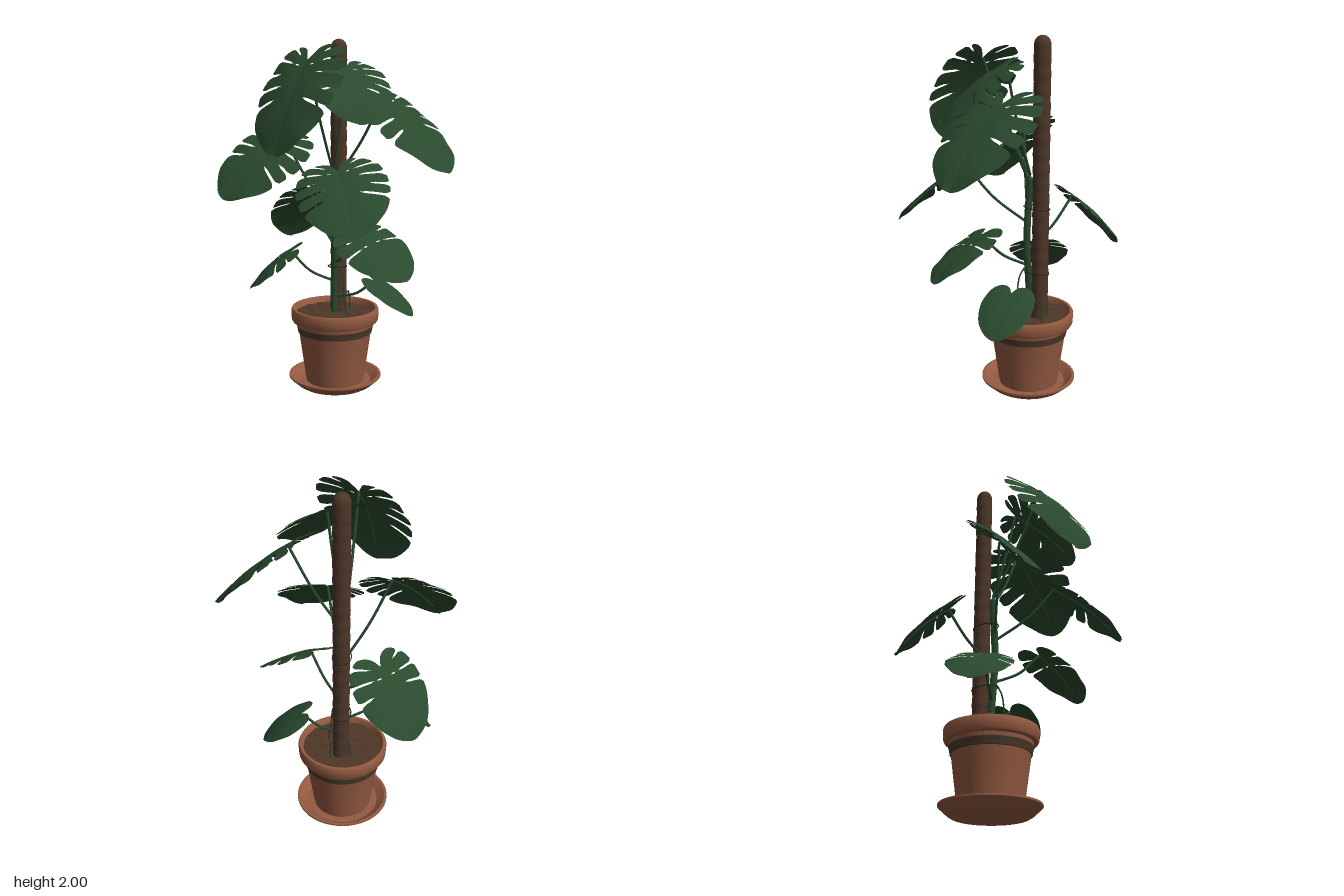
import * as THREE from 'three';
import { toCreasedNormals } from 'three/addons/utils/BufferGeometryUtils.js';

const V2 = (x, y) => new THREE.Vector2(x, y);
const V3 = (x, y, z) => new THREE.Vector3(x, y, z);
const PX = -0.065, PZ = -0.127, POLE_Z = -0.195;

function material(name, color, extra = {}) {
  const m = new THREE.MeshStandardMaterial({ color, ...extra });
  m.name = name;
  return m;
}

// Right half of a heart-shaped leaf: notch at the origin, tip at (0, 0.9)
const margin = new THREE.CatmullRomCurve3([
  V3(0.005, 0, 0), V3(0.08, -0.12, 0), V3(0.23, -0.16, 0), V3(0.38, -0.05, 0), V3(0.45, 0.16, 0),
  V3(0.44, 0.4, 0), V3(0.35, 0.64, 0), V3(0.19, 0.82, 0), V3(0.06, 0.89, 0), V3(0, 0.9, 0)]);

// Each half is a row of fingers between slits; gaps open towards the margin
// and, on some slits, as a small hole near the midrib.
function leafGeometry(slits, ripple) {
  const pos = [], index = [];
  const rows = 20;
  const edges = [0, ...slits, 1];
  const gap = (k, s, side) => {
    if (k === 0 || k === edges.length - 1) return 0;
    const cut = 0.46 + 0.12 * Math.sin(k * 2.3 + side);
    let g = 0;
    if (s > cut) g = 0.0095 * Math.min(1, (s - cut) / 0.12);
    if (s > 0.85) g += 0.018 * ((s - 0.85) / 0.15) ** 2;
    if (k === 2 && s > 0.17 && s < 0.3) g = 0.009;
    return g;
  };
  for (const side of [1, -1]) {
    for (let k = 0; k < edges.length - 1; k++) {
      const start = pos.length / 3;
      const n = Math.ceil((edges[k + 1] - edges[k]) * 40);
      for (let i = 0; i <= n; i++) {
        for (let j = 0; j <= rows; j++) {
          const s = j / rows;
          const t0 = edges[k] + gap(k, s, side), t1 = edges[k + 1] - gap(k + 1, s, side);
          const t = THREE.MathUtils.lerp(t0, t1, i / n);
          const p = margin.getPointAt(t);
          const x = p.x * s;
          const y = THREE.MathUtils.lerp(0.89 * t * t, p.y, s);
          const h = 0.25 * y * (0.9 - y) - 0.5 * x * x + 0.1 * x
            + ripple * s * s * Math.sin(t * 26 + side);
          pos.push(x * side, y, h);
        }
      }
      for (let i = 0; i < n; i++) {
        for (let j = 0; j < rows; j++) {
          const a = start + i * (rows + 1) + j, b = a + rows + 1, c = a + 1, d = b + 1;
          if (side > 0) index.push(a, c, b, b, c, d);
          else index.push(a, b, c, b, d, c);
        }
      }
    }
  }
  const g = new THREE.BufferGeometry();
  g.setAttribute('position', new THREE.Float32BufferAttribute(pos, 3));
  g.setIndex(index);
  g.computeVertexNormals();
  return g;
}

export function createModel() {
  const root = new THREE.Group();
  root.name = 'pottedClimbingPlant';
  const terracotta = material('terracotta', 0x945b41);
  const twine = material('twine', 0x4a3a2b);
  const soilBrown = material('soilBrown', 0x4f3727);
  const coir = material('coir', 0x4d3627);
  const leafGreen = material('leafGreen', 0x2a4a2e, { side: THREE.DoubleSide });
  const stemGreen = material('stemGreen', 0x27492e);
  const tieDark = material('tieDark', 0x22281f);

  const add = (name, geometry, mat, x = 0, y = 0, z = 0) => {
    const m = new THREE.Mesh(geometry, mat);
    m.name = name;
    m.position.set(x, y, z);
    root.add(m);
    return m;
  };
  const lathe = (pts, n = 48) =>
    toCreasedNormals(new THREE.LatheGeometry(pts.map(p => V2(...p)), n), 0.6);
  const tube = (name, pts, r, mat, closed = false) => add(name,
    new THREE.TubeGeometry(new THREE.CatmullRomCurve3(pts, closed), 28, r, 8, closed), mat);

  // Saucer and pot
  add('saucer', lathe([[0, 0], [0.205, 0], [0.225, 0.012], [0.27, 0.052], [0.27, 0.062],
    [0.255, 0.062], [0.21, 0.025], [0, 0.025]]), terracotta, PX, 0, PZ);
  add('pot', lathe([[0, 0.026], [0.168, 0.026], [0.174, 0.06], [0.212, 0.33], [0.222, 0.365],
    [0.224, 0.385], [0.247, 0.388], [0.253, 0.398], [0.256, 0.452], [0.25, 0.465], [0.236, 0.465],
    [0.23, 0.455], [0.222, 0.4], [0, 0.39]]), terracotta, PX, 0, PZ);
  add('twineBand', lathe([[0.21, 0.32], [0.217, 0.322], [0.22, 0.34], [0.226, 0.362], [0.22, 0.366]]),
    twine, PX, 0, PZ);

  // Lumpy soil
  const soil = new THREE.RingGeometry(0.001, 0.229, 40, 12).rotateX(-Math.PI / 2);
  const sp = soil.attributes.position;
  for (let i = 0; i < sp.count; i++) {
    const x = sp.getX(i), z = sp.getZ(i);
    sp.setY(i, 0.004 * (Math.sin(x * 63 + z * 27) * Math.cos(z * 71 - x * 21) + Math.sin(z * 45 - x * 58)));
  }
  soil.computeVertexNormals();
  add('soil', soil, soilBrown, PX, 0.432, PZ);

  // Ribbed support pole with a domed top
  const profile = [[0.046, 0.41]];
  for (let i = 0; i <= 90; i++) profile.push([0.0465 + 0.0013 * Math.sin(i * 1.26), 0.42 + i * 0.017]);
  for (let i = 1; i <= 6; i++) {
    const a = i * Math.PI / 12;
    profile.push([0.045 * Math.cos(a) + 1e-5, 1.955 + 0.045 * Math.sin(a)]);
  }
  add('supportPole', new THREE.LatheGeometry(profile.map(p => V2(...p)), 24), coir, PX, 0, POLE_Z);

  // Main stem
  const stemAt = y => V3(PX + 0.007 * Math.sin(y * 9), y, -0.122 + 0.006 * Math.cos(y * 7));
  const stemPts = [];
  for (let y = 0.42; y < 1.29; y += 0.08) stemPts.push(stemAt(y));
  tube('mainStem', stemPts, 0.021, stemGreen);
  const top = stemPts[stemPts.length - 1];
  add('stemTip', new THREE.SphereGeometry(0.021, 12, 8), stemGreen, top.x, top.y, top.z);

  // Ties holding the stem to the pole
  for (const y of [0.7, 1.07]) {
    const loop = [];
    for (let i = 0; i < 16; i++) {
      const a = i * Math.PI / 8;
      loop.push(V3(PX + 0.051 * Math.cos(a), y + 0.006 * Math.sin(a), -0.171 + 0.075 * Math.sin(a)));
    }
    tube('tie', loop, 0.003, tieDark, true);
  }

  // Aerial roots
  for (const [y, dx, dz] of [[0.74, 0.09, 0.04], [0.62, -0.06, -0.1], [0.58, 0.06, -0.11]]) {
    const s = stemAt(y);
    tube('aerialRoot', [s, V3(PX + dx * 0.6, y - 0.06, s.z + dz * 0.6),
      V3(PX + dx * 0.8, 0.54, s.z + dz * 0.9), V3(PX + dx, 0.42, s.z + dz)], 0.0045, stemGreen);
  }

  // Leaves: stem height, notch, tip, facing direction, slit positions
  const many = [0.19, 0.3, 0.41, 0.52, 0.62];
  const some = [0.26, 0.39, 0.52];
  const few = [0.35, 0.5];
  const leaves = [
    ['topFrontLeaf', 1.24, [-0.11, 1.87, 0.18], [-0.2, 1.38, 0.42], [-0.38, 0.48, 0.8], many],
    ['topLeftLeaf', 1.2, [0.22, 1.67, -0.1], [0.61, 1.28, 0.0], [0.6, 0.72, 0.22], many],
    ['topMiddleLeaf', 1.25, [0.03, 1.84, -0.03], [0.2, 1.54, 0.28], [0.4, 0.75, 0.5], many],
    ['middleFrontLeaf', 0.98, [0.06, 1.3, 0.2], [0.26, 1.0, 0.52], [0.2, 0.53, 0.78], many],
    ['middleRightLeaf', 1.0, [-0.31, 1.45, 0.02], [-0.58, 1.13, 0.27], [-0.15, 0.68, 0.72], many],
    ['lowFrontLeaf', 0.73, [0.14, 0.94, 0.07], [0.44, 0.73, 0.2], [0.3, 0.75, 0.38], few],
    ['lowLeftLeaf', 0.53, [0.17, 0.64, -0.125], [0.4, 0.45, -0.13], [0.6, 0.8, 0], []],
    ['lowRightLeaf', 0.62, [-0.31, 0.79, -0.06], [-0.56, 0.56, -0.03], [-0.6, 0.7, 0.25], few],
    ['backRightLeaf', 0.82, [-0.28, 1.11, -0.3], [-0.48, 0.8, -0.49], [-0.5, 0.6, -0.55], some],
  ];
  for (const [name, height, notch, tip, facing, slits] of leaves) {
    const base = V3(...notch);
    const along = V3(...tip).sub(base);
    const size = along.length() / 0.9;
    along.normalize();
    const across = along.clone().cross(V3(...facing)).normalize();
    const normal = across.clone().cross(along);
    const blade = add(name, leafGeometry(slits, slits.length ? 0.008 : 0.004), leafGreen);
    blade.quaternion.setFromRotationMatrix(new THREE.Matrix4().makeBasis(across, along, normal));
    blade.position.copy(base);
    blade.scale.setScalar(size);

    // Leaf stalk bending out from the stem, and the midrib under the blade
    const s = stemAt(height);
    const bend = s.clone().lerp(base, 0.55);
    bend.y -= 0.035;
    tube(name + 'Stalk', [s, bend, base.clone().addScaledVector(normal, -0.004)], 0.0075, stemGreen);
    const rib = [0, 0.25, 0.5, 0.75].map(y => base.clone().addScaledVector(along, y * size)
      .addScaledVector(normal, size * 0.25 * y * (0.9 - y) - 0.004));
    tube(name + 'Midrib', rib, 0.0035, stemGreen);
  }
  return root;
}
